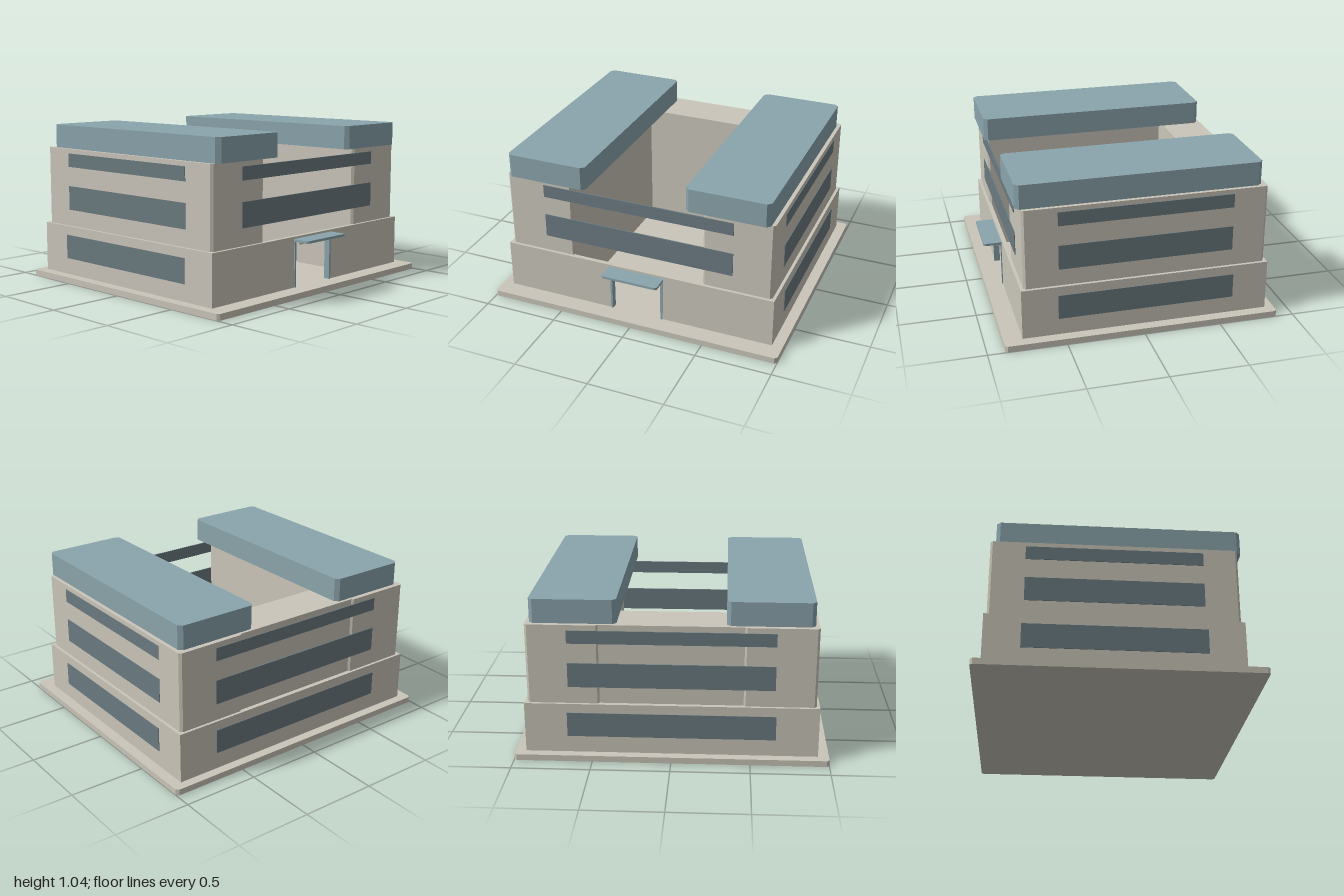
import * as THREE from 'three';

const mat = (name, color) => {
  const m = new THREE.MeshStandardMaterial({ color });
  m.name = name;
  return m;
};

export function createModel() {
  const root = new THREE.Group();
  root.name = 'courtyardBuilding';
  const stone = mat('warm stone', 0xc9c5b9);
  const blue = mat('blue grey cladding', 0x8aa4ab);
  const glass = mat('dark glass', 0x6a7a80);

  const add = (name, geometry, material) => {
    const mesh = new THREE.Mesh(geometry, material);
    mesh.name = name;
    root.add(mesh);
    return mesh;
  };

  // Box given by its limits on each axis
  const box = (name, material, x0, x1, y0, y1, z0, z1) =>
    add(name, new THREE.BoxGeometry(x1 - x0, y1 - y0, z1 - z0), material)
      .position.set((x0 + x1) / 2, (y0 + y1) / 2, (z0 + z1) / 2);

  // Upright slab with its four vertical corners cut off by c
  const slab = (name, material, x0, x1, y0, y1, z0, z1, c) => {
    const shape = new THREE.Shape([
      [x0 + c, -z1], [x1 - c, -z1], [x1, -z1 + c], [x1, -z0 - c],
      [x1 - c, -z0], [x0 + c, -z0], [x0, -z0 - c], [x0, -z1 + c],
    ].map(([x, y]) => new THREE.Vector2(x, y)));
    const g = new THREE.ExtrudeGeometry(shape, { depth: y1 - y0, bevelEnabled: false });
    g.rotateX(-Math.PI / 2);
    g.translate(0, y0, 0);
    add(name, g, material);
  };

  // Ground plate
  slab('basePlate', stone, -0.89, 0.89, 0, 0.04, -1, 1, 0.016);

  // Ground storey and connecting block around an open courtyard
  box('rearGroundStorey', stone, -0.83, -0.52, 0.04, 0.37, -0.45, 0.45);
  box('rearConnector', stone, -0.8, -0.52, 0.37, 0.89, -0.46, 0.46);

  for (const s of [1, -1]) {
    const side = s > 0 ? 'front' : 'back';
    const span = (a, b) => (s > 0 ? [a, b] : [-b, -a]);

    // Wings with overhanging roof blocks
    box(side + 'GroundWing', stone, -0.83, 0.77, 0.04, 0.37, ...span(0.45, 0.93));
    slab(side + 'UpperWing', stone, -0.812, 0.75, 0.37, 0.89, ...span(0.45, 0.91), 0.015);
    slab(side + 'RoofBlock', blue, -0.78, 0.78, 0.89, 1.045, ...span(0.34, 0.885), 0.025);

    // Window bands on the long faces
    box(side + 'GroundWindow', glass, -0.6, 0.54, 0.15, 0.31, ...span(0.926, 0.934));
    box(side + 'MiddleWindow', glass, -0.59, 0.53, 0.48, 0.64, ...span(0.906, 0.914));
    box(side + 'TopWindow', glass, -0.59, 0.53, 0.77, 0.86, ...span(0.906, 0.914));

    // Entrance wall and door post
    box(side + 'EntranceWall', stone, 0.74, 0.77, 0.04, 0.37, ...span(0.18, 0.45));
    box(side + 'DoorPost', blue, 0.735, 0.776, 0.04, 0.34, ...span(0.17, 0.184));
  }

  // Entrance lintel, bracket and canopy
  box('doorLintel', stone, 0.74, 0.77, 0.32, 0.37, -0.18, 0.18);
  box('canopyBracket', stone, 0.77, 0.8, 0.32, 0.34, -0.17, 0.17);
  slab('entranceCanopy', blue, 0.765, 0.89, 0.34, 0.356, -0.193, 0.193, 0.012);

  // Window bands on the end faces; the entrance side ones bridge the courtyard
  box('leftMiddleWindow', glass, 0.745, 0.754, 0.48, 0.64, -0.65, 0.65);
  box('leftTopWindow', glass, 0.745, 0.754, 0.77, 0.855, -0.65, 0.65);
  box('rightGroundWindow', glass, -0.834, -0.826, 0.15, 0.31, -0.66, 0.66);
  box('rightMiddleWindow', glass, -0.816, -0.808, 0.48, 0.64, -0.65, 0.65);
  box('rightTopWindow', glass, -0.816, -0.808, 0.77, 0.855, -0.65, 0.65);

  return root;
}
